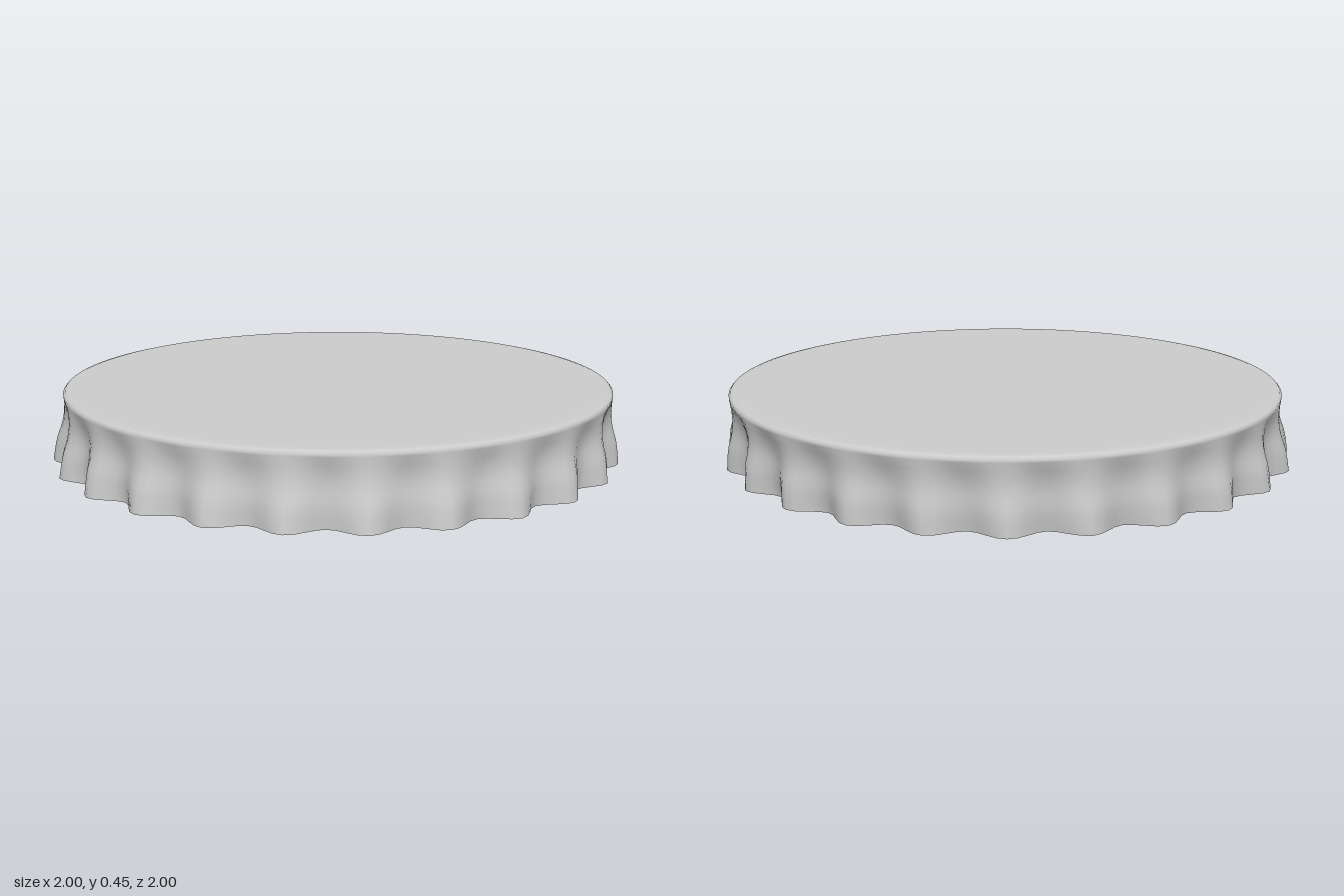
import * as THREE from 'three';
import { mergeVertices, toCreasedNormals } from 'three/addons/utils/BufferGeometryUtils.js';

const FOLDS = 24;
const grey = new THREE.MeshStandardMaterial({ color: 0xcccccc });
const cloth = new THREE.MeshStandardMaterial({ color: 0xcccccc, side: THREE.DoubleSide });

const points = (list) => list.map(([x, y]) => new THREE.Vector2(x, y));

function addMesh(parent, name, geometry, material = grey) {
  const mesh = new THREE.Mesh(geometry, material);
  mesh.name = name;
  parent.add(mesh);
  return mesh;
}

// Draped cloth: a lathed cap and skirt whose folds deepen towards the hem
function clothGeometry() {
  const profile = [];
  for (let i = 0; i <= 8; i++) profile.push([0.967, 0.197 + (0.233 * i) / 8]);
  profile.push([0.968, 0.44], [0.961, 0.448], [0.945, 0.452], [0.9, 0.452], [0, 0.452]);
  let geometry = new THREE.LatheGeometry(points(profile), FOLDS * 8);
  const pos = geometry.attributes.position;
  for (let i = 0; i < pos.count; i++) {
    const x = pos.getX(i), y = pos.getY(i), z = pos.getZ(i);
    const r = Math.hypot(x, z), angle = Math.atan2(x, z);
    const drop = THREE.MathUtils.clamp((0.43 - y) / 0.233, 0, 1);
    const tuck = -0.012 * Math.sin(Math.PI * Math.min(1, drop * 1.5));
    const wave = 0.034 * Math.cos(FOLDS * angle) * Math.pow(drop, 0.9);
    const scale = r > 0 ? (r + tuck + wave) / r : 1;
    // the cap sits slightly off the centre of the hem
    pos.setXYZ(i, x * scale + 0.01 * (1 - drop), y, z * scale - 0.015 * (1 - drop));
  }
  geometry.deleteAttribute('uv');
  geometry.deleteAttribute('normal');
  geometry = mergeVertices(geometry, 1e-5);
  geometry.computeVertexNormals();
  return geometry;
}

// Side outline of one curved leg, swept to a constant width
function legGeometry() {
  const shape = new THREE.Shape();
  shape.moveTo(0.015, 0.07);
  shape.lineTo(0.06, 0.077);
  shape.bezierCurveTo(0.12, 0.075, 0.12, 0.01, 0.16, 0.003);
  shape.lineTo(0.175, 0);
  shape.lineTo(0.218, 0);
  shape.quadraticCurveTo(0.225, 0.007, 0.216, 0.014);
  shape.lineTo(0.178, 0.018);
  shape.bezierCurveTo(0.15, 0.03, 0.15, 0.11, 0.07, 0.112);
  shape.lineTo(0.015, 0.115);
  const geometry = new THREE.ExtrudeGeometry(shape, {
    depth: 0.022, curveSegments: 10,
    bevelEnabled: true, bevelThickness: 0.004, bevelSize: 0.003, bevelOffset: -0.003, bevelSegments: 1,
  });
  geometry.translate(0, 0, -0.011);
  return toCreasedNormals(geometry, 0.6);
}

export function createModel() {
  const model = new THREE.Group();
  model.name = 'pedestalTable';

  addMesh(model, 'tablecloth', clothGeometry(), cloth);

  // Round board beneath the cloth
  const top = addMesh(model, 'tableTop', new THREE.CylinderGeometry(0.51, 0.51, 0.025, 64));
  top.position.y = 0.4345;

  // Turned column
  const column = new THREE.LatheGeometry(points([
    [0, 0.053], [0.037, 0.053], [0.04, 0.058], [0.04, 0.068], [0.03, 0.073], [0.03, 0.12],
    [0.042, 0.128], [0.05, 0.142], [0.044, 0.156], [0.031, 0.165], [0.033, 0.18], [0.043, 0.2],
    [0.047, 0.235], [0.045, 0.27], [0.033, 0.295], [0.034, 0.31], [0.048, 0.322], [0.048, 0.337],
    [0.034, 0.35], [0.035, 0.375], [0.05, 0.398], [0.076, 0.41], [0.078, 0.424],
  ]), 32);
  addMesh(model, 'column', toCreasedNormals(column, 0.9));

  // Four splayed legs, mirrored front to back and side to side
  const leg = legGeometry();
  for (const degrees of [60, 120, 240, 300]) {
    addMesh(model, 'leg', leg).rotation.y = THREE.MathUtils.degToRad(degrees);
  }
  return model;
}
